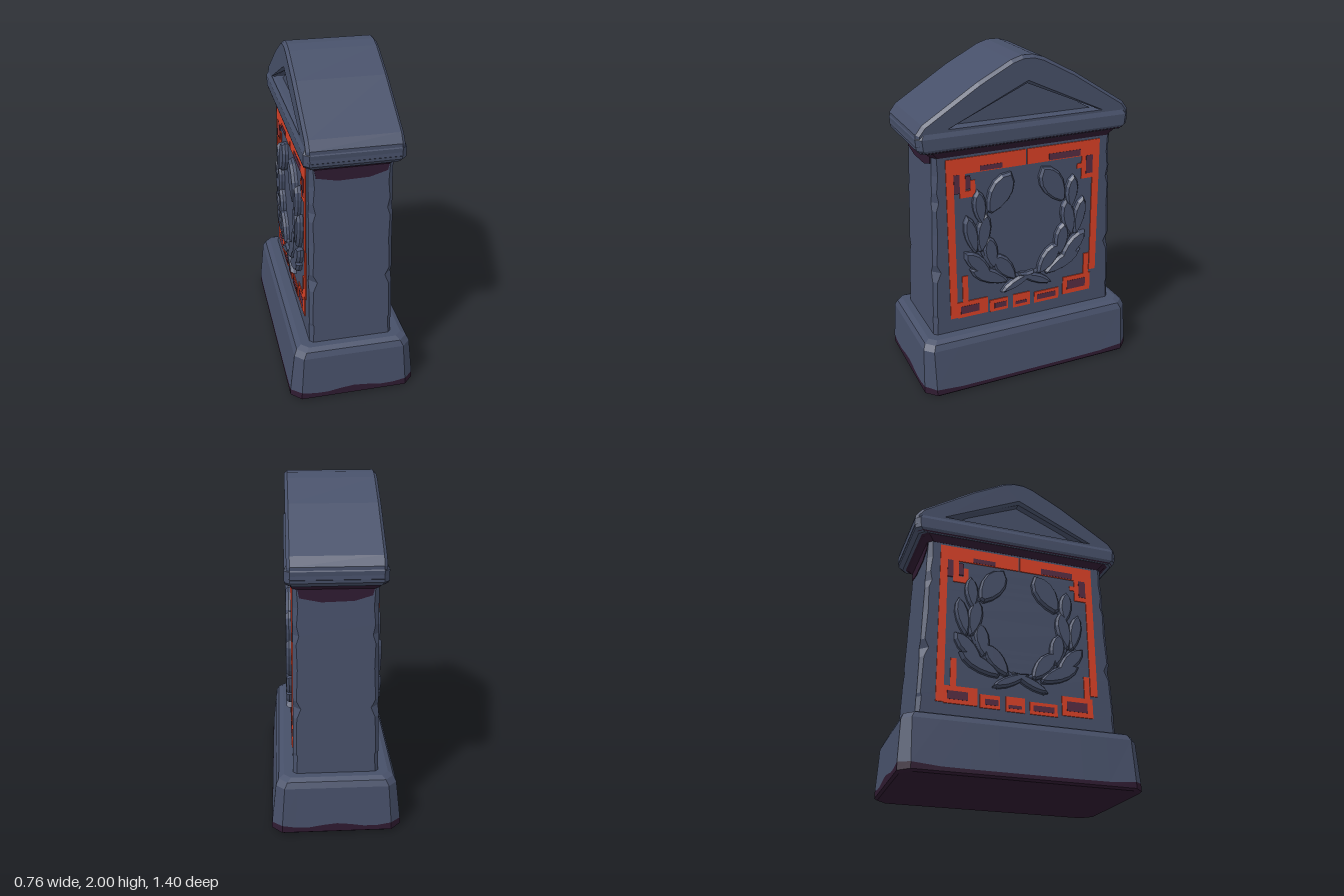
import * as THREE from 'three';

const slate = new THREE.MeshStandardMaterial({ color: 0x475069 });
const orange = new THREE.MeshStandardMaterial({ color: 0xd84026 });
const plum = new THREE.MeshStandardMaterial({ color: 0x2e1a30 });
const maroon = new THREE.MeshStandardMaterial({ color: 0x562c42 });
slate.name = 'slate stone';
orange.name = 'orange paint';
plum.name = 'dark plum stone';
maroon.name = 'worn maroon paint';

function mesh(name, geometry, material) {
  const m = new THREE.Mesh(geometry, material);
  m.name = name;
  return m;
}

// Rectangle with cut corners; y may be a number or a rule y(x, z)
function ring([y, hx, hz, c], sub) {
  const k = [[hx, c - hz], [hx, hz - c], [hx - c, hz], [c - hx, hz],
    [-hx, hz - c], [-hx, c - hz], [c - hx, -hz], [hx - c, -hz]];
  const out = [];
  k.forEach(([x, z], i) => {
    const [x2, z2] = k[(i + 1) % 8];
    const n = i % 2 ? 1 : sub;
    for (let j = 0; j < n; j++) {
      const px = x + (x2 - x) * j / n, pz = z + (z2 - z) * j / n;
      out.push(new THREE.Vector3(px, typeof y === 'function' ? y(px, pz) : y, pz));
    }
  });
  return out;
}

// Faceted solid through a stack of rings
function loft(levels, { sub = 1, bottom = true, top = true } = {}) {
  const rings = levels.map(l => ring(l, sub));
  const pos = [];
  const tri = (...p) => p.forEach(v => pos.push(v.x, v.y, v.z));
  const n = rings[0].length;
  for (let r = 0; r + 1 < rings.length; r++) {
    for (let i = 0; i < n; i++) {
      const j = (i + 1) % n;
      const a = rings[r][i], b = rings[r][j], c = rings[r + 1][j], d = rings[r + 1][i];
      tri(a, d, b);
      tri(b, d, c);
    }
  }
  const cap = (rg, up) => {
    const o = new THREE.Vector3(0, rg[0].y, 0);
    rg.forEach((p, i) => {
      const q = rg[(i + 1) % n];
      up ? tri(o, q, p) : tri(o, p, q);
    });
  };
  if (bottom) cap(rings[0], false);
  if (top) cap(rings[rings.length - 1], true);
  const g = new THREE.BufferGeometry();
  g.setAttribute('position', new THREE.Float32BufferAttribute(pos, 3));
  g.computeVertexNormals();
  return g;
}

const polygon = pts => new THREE.Shape(pts.map(p => new THREE.Vector2(p[0], p[1])));

// Extrusion centred across the width of the stone
function acrossX(shape, half, bevel) {
  const g = new THREE.ExtrudeGeometry(shape, {
    depth: 2 * (half - bevel), bevelEnabled: bevel > 0, bevelThickness: bevel,
    bevelSize: bevel, bevelOffset: -bevel, bevelSegments: 1,
  });
  g.translate(0, 0, bevel - half);
  return g.rotateY(Math.PI / 2);
}

// Painted plates given as [u0, u1, y0, y1] in hundredths
function plates(rects, depth) {
  const shapes = rects.map(r => {
    const [a, b, c, d] = r.map(v => v / 100);
    return polygon([[a, c], [b, c], [b, d], [a, d]]);
  });
  return new THREE.ExtrudeGeometry(shapes, { depth, bevelEnabled: false });
}

// Raised leaf from base to tip
function leaf([x0, y0, x1, y1, w]) {
  const len = Math.hypot(x1 - x0, y1 - y0);
  const s = new THREE.Shape();
  s.moveTo(0, -w * 0.12);
  s.bezierCurveTo(len * 0.3, -w * 0.6, len * 0.8, -w * 0.75, len, 0);
  s.bezierCurveTo(len * 0.8, w * 0.75, len * 0.3, w * 0.6, 0, w * 0.12);
  s.closePath();
  const g = new THREE.ExtrudeGeometry(s, {
    depth: 0.018, curveSegments: 5, bevelThickness: 0.017, bevelSize: 0.012,
    bevelOffset: -0.012, bevelSegments: 1,
  });
  g.rotateZ(Math.atan2(y1 - y0, x1 - x0));
  return g.translate(x0, y0, 0);
}

// Key-pattern frame and laurel wreath for one broad face
function createPanel() {
  const art = new THREE.Group();
  art.name = 'panelArt';
  art.position.y = -0.35;
  art.add(mesh('keyFrame', plates([
    [-49.5, -45, 44, 145], [44.5, 49, 58, 145],
    [-45, 0, 135.5, 145], [1, 44.5, 135.5, 145],
    [-45, -25.5, 43.5, 54], [-24, -12, 43, 51], [-8.5, 3, 42.5, 51.5],
    [6, 23, 42.5, 50], [26, 45.5, 44, 56],
    [-41.5, -38, 54, 71], [40.5, 44, 56, 70],
    [-41.5, -38, 121, 135.5], [-38, -32, 121, 125], [-35, -32, 125, 131],
    [37, 40, 121, 135.5], [34, 37, 128, 131], [40, 44.5, 121, 124],
  ], 0.006), orange));
  art.add(mesh('wornPaint', plates([
    [-29, -15, 136, 139], [15, 36, 136, 140], [-45, -41.5, 124, 135.5], [-38, -35, 126, 134],
    [40, 44.5, 124, 135.5], [-43, -31, 46, 51], [-21, -13, 45, 48.5],
    [-7, 1, 44.5, 46.5], [8, 21, 44.5, 48], [29, 42, 47, 53],
  ], 0.0075), maroon));

  const wreath = new THREE.Group();
  wreath.name = 'laurelWreath';
  const leaves = [
    [-0.24, 1.1, -0.1, 1.33, 0.14], [-0.29, 1.04, -0.31, 1.25, 0.08],
    [-0.33, 0.86, -0.38, 1.1, 0.08], [-0.3, 0.86, -0.26, 1.1, 0.09],
    [-0.22, 0.74, -0.25, 0.95, 0.09], [-0.24, 0.7, -0.4, 0.87, 0.09],
    [-0.13, 0.63, -0.37, 0.75, 0.09], [-0.08, 0.64, -0.22, 0.82, 0.1],
  ];
  for (const s of [-1, 1]) {
    leaves.forEach(([a, b, c, d, w]) => wreath.add(mesh('leaf', leaf([a * s, b, c * s, d, w]), slate)));
    // Twig along the branch and its crossed stem end
    const twig = new THREE.CatmullRomCurve3([[0.15, 0.56], [-0.03, 0.64], [-0.18, 0.7],
      [-0.28, 0.84], [-0.31, 1.0], [-0.25, 1.12]].map(p => new THREE.Vector3(p[0] * s, p[1], 0.008)));
    wreath.add(mesh('twig', new THREE.TubeGeometry(twig, 14, 0.014, 5), slate));
    wreath.add(mesh('stemEnd', leaf([-0.05 * s, 0.66, 0.17 * s, 0.56, 0.06]), slate));
  }
  art.add(wreath);

  const face = new THREE.Group();
  face.name = 'facePanel';
  face.rotation.set(-0.012, Math.PI / 2, 0, 'YXZ');
  face.position.set(0.25, 0.35, 0);
  face.add(art);
  const panel = new THREE.Group();
  panel.name = 'sidePanel';
  panel.add(face);
  return panel;
}

export function createModel() {
  const model = new THREE.Group();
  model.name = 'gravestone';

  // Plinth with a dark, uneven lower edge
  const wave = (x, z) => 0.035 + 0.03 * Math.pow(Math.abs(z) / 0.7, 8) * (0.6 + 0.4 * Math.cos(x * 16));
  model.add(mesh('plinthUnderside', loft([[0, 0.37, 0.685, 0.06], [0.012, 0.382, 0.7, 0.06],
    [wave, 0.38, 0.7, 0.06]], { sub: 8, top: false }), plum));
  model.add(mesh('plinth', loft([[wave, 0.38, 0.7, 0.06], [0.3, 0.352, 0.69, 0.05],
    [0.335, 0.335, 0.675, 0.05], [0.35, 0.305, 0.645, 0.04]], { sub: 8, bottom: false }), slate));

  // Tapered body with chipped corners
  const chips = [[0.34, 0.02], [0.46, 0.025], [0.48, 0.018], [0.7, 0.022], [0.76, 0.045], [0.81, 0.02],
    [1.0, 0.026], [1.15, 0.02], [1.2, 0.035], [1.26, 0.022], [1.36, 0.03], [1.47, 0.022]];
  model.add(mesh('body', loft(chips.map(([y, c]) => {
    const t = (y - 0.35) / 1.11;
    return [y, 0.25 - 0.0133 * t, 0.602 - 0.034 * t, c];
  })), slate));

  // Dark neck and stained tops of the narrow ends
  model.add(mesh('neck', loft([[1.465, 0.238, 0.57, 0.03], [1.5, 0.255, 0.6, 0.03],
    [1.515, 0.275, 0.645, 0.03]]), plum));
  const stain = polygon([[-0.2, 1.42], [-0.08, 1.395], [0.1, 1.4], [0.2, 1.43], [0.21, 1.475], [-0.21, 1.475]]);
  for (const s of [0, Math.PI]) {
    const end = new THREE.Group();
    end.name = 'endStain';
    const plate = mesh('stain', new THREE.ExtrudeGeometry(stain, { depth: 0.006, bevelEnabled: false }), plum);
    plate.position.z = 0.568;
    end.rotation.y = s;
    end.add(plate);
    model.add(end);
  }

  // Gable: cornice, open triangular frame and recessed tympanum
  model.add(mesh('cornice', loft([[1.505, 0.265, 0.635, 0.03], [1.53, 0.28, 0.66, 0.03],
    [1.595, 0.28, 0.667, 0.03], [1.63, 0.262, 0.648, 0.03]]), slate));
  const half = [[0.63, 1.52], [0.665, 1.55], [0.663, 1.62], [0.625, 1.67], [0.3, 1.875], [0.1, 1.98], [0.035, 2.0]];
  const outline = [...half, ...half.map(([z, y]) => [-z, y]).reverse()];
  const frame = polygon(outline);
  frame.holes.push(new THREE.Path([[-0.46, 1.64], [0, 1.84], [0.46, 1.64]].map(p => new THREE.Vector2(...p))));
  model.add(mesh('gableFrame', acrossX(frame, 0.267, 0.018), slate));
  model.add(mesh('tympanum', acrossX(polygon([[-0.5, 1.6], [0.5, 1.6], [0, 1.88]]), 0.205, 0), slate));

  // Matching decoration on both broad faces
  for (const turn of [0, Math.PI]) {
    const panel = createPanel();
    panel.rotation.y = turn;
    model.add(panel);
  }
  return model;
}
